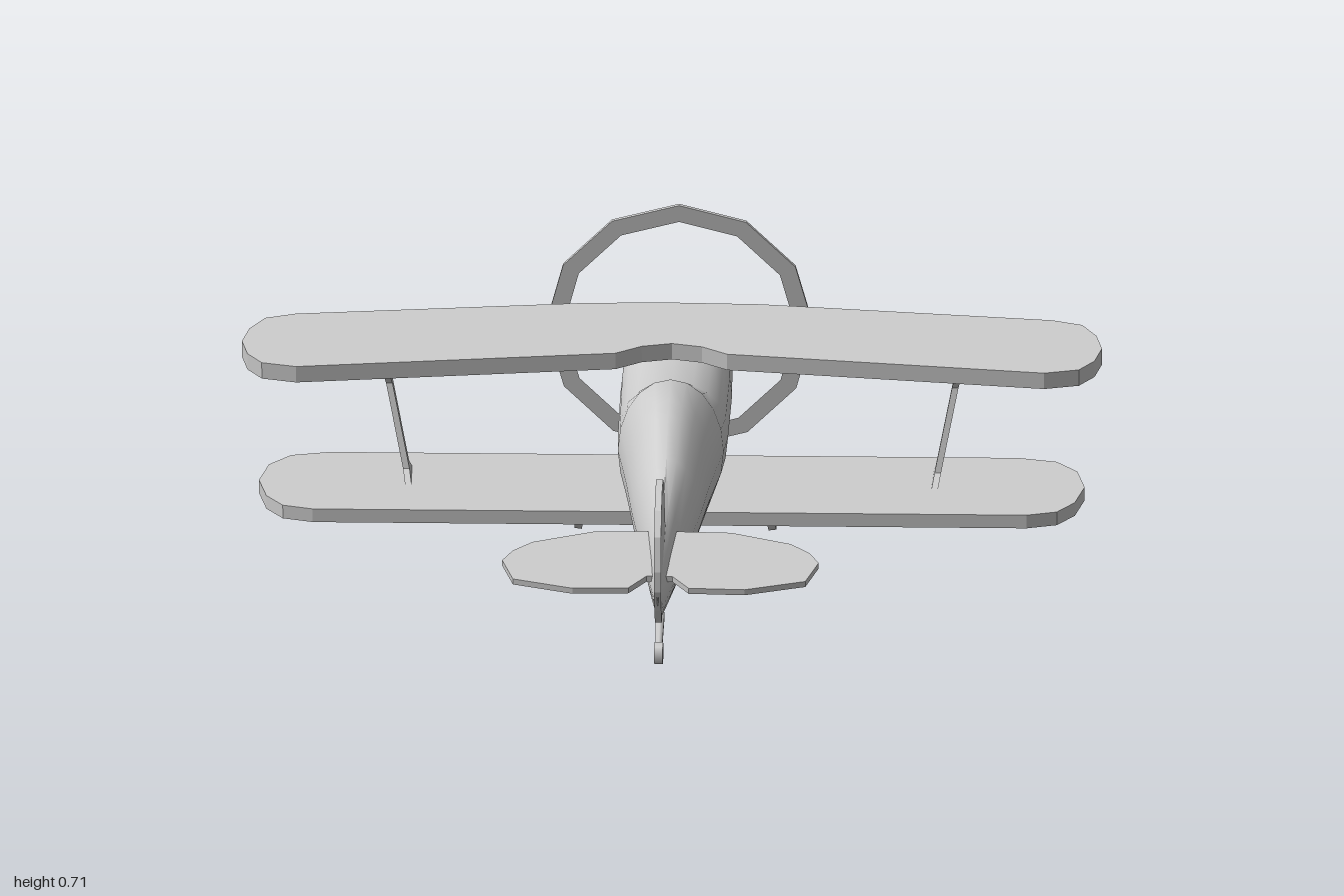
import * as THREE from 'three';
import { toCreasedNormals } from 'three/addons/utils/BufferGeometryUtils.js';

const grey = new THREE.MeshStandardMaterial({ color: 0xcccccc });

function part(name, geometry, parent) {
  const mesh = new THREE.Mesh(geometry, grey);
  mesh.name = name;
  parent.add(mesh);
  return mesh;
}

const shapeOf = (pts) => new THREE.Shape(pts.map(([x, y]) => new THREE.Vector2(x, y)));

// Plate of thickness t, centred on its own plane
function plate(shape, t) {
  const g = new THREE.ExtrudeGeometry(shape, { depth: t, bevelEnabled: false });
  return g.translate(0, 0, -t / 2);
}

// Apply a rule to every vertex
function bend(g, rule) {
  const p = g.attributes.position;
  for (let i = 0; i < p.count; i++) p.setXYZ(i, ...rule(p.getX(i), p.getY(i), p.getZ(i)));
  g.computeVertexNormals();
  return g;
}

// Symmetric horizontal surface from half of its plan (x, z), raised toward the nose
function surface(half, t, y0, slope) {
  const other = half.filter(([x]) => x > 0).reverse().map(([x, z]) => [-x, z]);
  const g = plate(shapeOf([...half, ...other]), t).rotateX(Math.PI / 2);
  return bend(g, (x, y, z) => [x, y0 + y - z * slope, z + y * slope]);
}

// Upright plate drawn in (z, y), thin along x
function upright(pts, t) {
  return plate(shapeOf(pts.map(([z, y]) => [-z, y])), t).rotateY(Math.PI / 2);
}

// Tapered rod between two points
function rod(name, a, b, r1, r2, parent) {
  const A = new THREE.Vector3(...a), B = new THREE.Vector3(...b);
  const d = B.clone().sub(A);
  const m = part(name, new THREE.CylinderGeometry(r2, r1, d.length(), 6), parent);
  m.position.copy(A).addScaledVector(d, 0.5);
  m.quaternion.setFromUnitVectors(new THREE.Vector3(0, 1, 0), d.normalize());
}

// Loft through sections: z, top, bottom, half width, roundness power
function fuselageGeometry() {
  const sections = [
    [-0.738, 0.37, 0.366, 0.003, 2],
    [-0.735, 0.425, 0.3, 0.1, 2.3],
    [-0.7, 0.45, 0.272, 0.125, 2.5],
    [-0.5, 0.43, 0.19, 0.13, 2.5],
    [-0.27, 0.405, 0.14, 0.128, 2.3],
    [-0.12, 0.455, 0.11, 0.123, 2],
    [0, 0.437, 0.09, 0.106, 1.9],
    [0.07, 0.42, 0.087, 0.097, 1.9],
    [0.19, 0.35, 0.084, 0.08, 1.9],
    [0.42, 0.295, 0.08, 0.05, 1.7],
    [0.6, 0.26, 0.087, 0.029, 1.5],
    [0.75, 0.235, 0.11, 0.012, 1.4],
    [0.812, 0.22, 0.18, 0.003, 1.4],
  ];
  const N = 20, pos = [], index = [];
  const pow = (v, n) => Math.sign(v) * Math.abs(v) ** (2 / n);
  sections.forEach(([z, top, bottom, w, n], s) => {
    for (let i = 0; i < N; i++) {
      const a = (i / N) * Math.PI * 2;
      pos.push(w * pow(Math.cos(a), n), (top + bottom) / 2 + ((top - bottom) / 2) * pow(Math.sin(a), n), z);
      if (s === sections.length - 1) continue;
      const p = s * N + i, q = s * N + ((i + 1) % N);
      index.push(p, q, p + N, q, q + N, p + N);
    }
  });
  const g = new THREE.BufferGeometry();
  g.setAttribute('position', new THREE.Float32BufferAttribute(pos, 3));
  g.setIndex(index);
  return toCreasedNormals(g, 0.7);
}

export function createModel() {
  const plane = new THREE.Group();
  plane.name = 'biplane';

  part('fuselage', fuselageGeometry(), plane);

  // Swept upper wing with a cutout behind its centre
  part('upperWing', surface([
    [0, -0.445], [0.2, -0.44], [0.88, -0.365], [0.95, -0.34], [0.985, -0.28], [1, -0.21],
    [0.985, -0.14], [0.95, -0.09], [0.87, -0.07], [0.13, -0.16], [0.07, -0.2], [0, -0.217],
  ], 0.04, 0.462, 0.155), plane);

  // Straight lower wing
  part('lowerWing', surface([
    [0, -0.365], [0.8, -0.365], [0.89, -0.345], [0.94, -0.29], [0.96, -0.2],
    [0.94, -0.11], [0.9, -0.055], [0.83, -0.035], [0, -0.035],
  ], 0.033, 0.138, 0.14), plane);

  // Tail surfaces
  part('tailplane', surface([
    [0, 0.45], [0.16, 0.455], [0.3, 0.51], [0.345, 0.555], [0.368, 0.605],
    [0.34, 0.7], [0.2, 0.745], [0.07, 0.74], [0.03, 0.68], [0, 0.68],
  ], 0.014, 0.328, 0.195), plane);
  part('fin', upright([
    [0.5, 0.275], [0.56, 0.35], [0.6, 0.405], [0.66, 0.43], [0.72, 0.42], [0.77, 0.385],
    [0.805, 0.33], [0.82, 0.25], [0.815, 0.2], [0.79, 0.15], [0.75, 0.11], [0.68, 0.18],
  ], 0.016), plane);

  for (const side of [1, -1]) {
    const word = side > 0 ? 'left' : 'right';

    // Wing strut, flared at both ends and leaning outward
    const strut = upright([
      [-0.16, 0.168], [-0.3, 0.19], [-0.245, 0.22], [-0.262, 0.41], [-0.34, 0.5],
      [-0.17, 0.47], [-0.228, 0.41], [-0.21, 0.21],
    ], 0.015);
    part(word + 'WingStrut', bend(strut, (x, y, z) => [x + side * (0.61 + (y - 0.17) * 0.2), y, z]), plane);

    // Main landing gear
    const gear = new THREE.Group();
    gear.name = word + 'LandingGear';
    plane.add(gear);
    rod('gearLeg', [side * 0.08, 0.175, -0.34], [side * 0.212, 0.08, -0.458], 0.014, 0.009, gear);
    const wheel = part('wheel', new THREE.CylinderGeometry(0.044, 0.044, 0.018, 8), gear);
    wheel.geometry.rotateY(Math.PI / 8).rotateZ(Math.PI / 2);
    wheel.position.set(side * 0.221, 0.046, -0.455);
    wheel.rotation.z = side * 0.12;
  }

  // Tail wheel
  rod('tailWheelLeg', [0, 0.095, 0.62], [0, 0.04, 0.715], 0.012, 0.009, plane);
  const tailWheel = part('tailWheel', new THREE.CylinderGeometry(0.027, 0.027, 0.02, 8), plane);
  tailWheel.geometry.rotateZ(Math.PI / 2);
  tailWheel.position.set(0, 0.03, 0.727);

  // Propeller sweep ring, tipped back with the nose-up stance
  const polygon = (r) => Array.from({ length: 12 }, (_, i) =>
    [r * Math.sin((i * Math.PI) / 6), r * Math.cos((i * Math.PI) / 6)]);
  const ring = shapeOf(polygon(0.312));
  ring.holes.push(shapeOf(polygon(0.27)));
  const propeller = part('propellerRing', plate(ring, 0.01), plane);
  propeller.position.set(0, 0.408, -0.757);
  propeller.rotation.x = 0.177;

  // Spinner
  const profile = [[0, -0.04], [0.024, -0.04], [0.026, 0.015], [0.016, 0.03], [0, 0.034]];
  const spinner = part('spinner', toCreasedNormals(new THREE.LatheGeometry(
    profile.map(([r, h]) => new THREE.Vector2(r, h)), 10), 0.7), plane);
  spinner.position.set(0, 0.408, -0.752);
  spinner.rotation.x = -Math.PI / 2 + 0.177;

  return plane;
}
